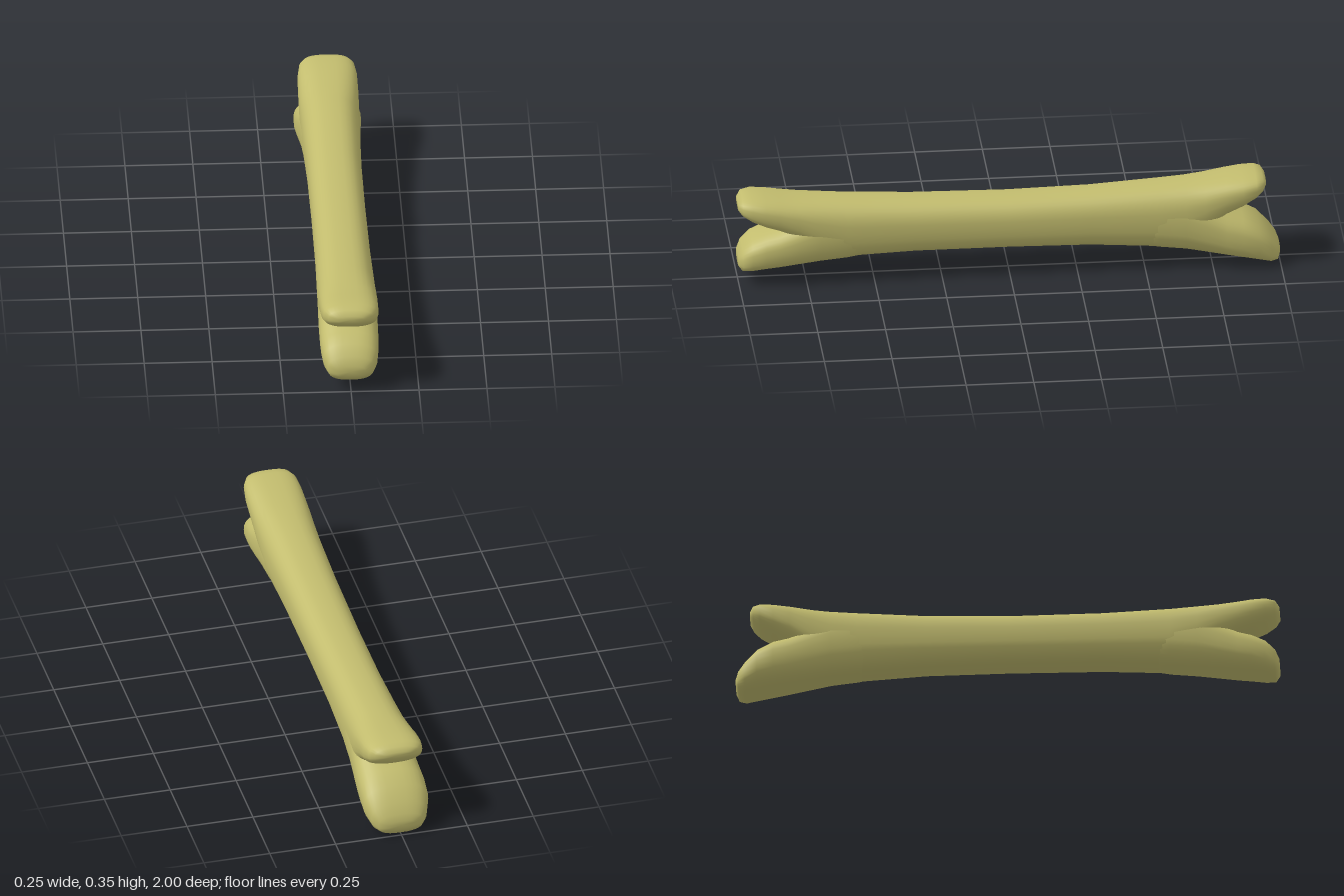
import * as THREE from 'three';

const SIDES = 32;

// Lofts rounded-square sections given as [z, top, bottom, halfWidth], with z ascending.
function loft(stations, exponent = 2.6) {
  const positions = [];
  const index = [];
  const soften = (v) => Math.sign(v) * Math.abs(v) ** (2 / exponent);

  for (const [z, top, bottom, halfWidth] of stations) {
    const mid = (top + bottom) / 2;
    const halfHeight = (top - bottom) / 2;
    for (let j = 0; j < SIDES; j++) {
      const a = (j / SIDES) * Math.PI * 2;
      positions.push(halfWidth * soften(Math.cos(a)), mid + halfHeight * soften(Math.sin(a)), z);
    }
  }

  // Skin between neighbouring sections
  const last = stations.length - 1;
  for (let i = 0; i < last; i++) {
    for (let j = 0; j < SIDES; j++) {
      const k = (j + 1) % SIDES;
      const a = i * SIDES + j, b = i * SIDES + k;
      index.push(a, b, b + SIDES, a, b + SIDES, a + SIDES);
    }
  }

  // Close both tips
  for (const i of [0, last]) {
    const [z, top, bottom] = stations[i];
    const centre = positions.length / 3;
    positions.push(0, (top + bottom) / 2, z);
    for (let j = 0; j < SIDES; j++) {
      const a = i * SIDES + j, b = i * SIDES + ((j + 1) % SIDES);
      if (i === 0) index.push(centre, b, a);
      else index.push(centre, a, b);
    }
  }

  const geometry = new THREE.BufferGeometry();
  geometry.setAttribute('position', new THREE.Float32BufferAttribute(positions, 3));
  geometry.setIndex(index);
  geometry.computeVertexNormals();
  return geometry;
}

export function createModel() {
  const group = new THREE.Group();
  group.name = 'bone';
  const boneMaterial = new THREE.MeshStandardMaterial({ color: 0xc2bc6e });
  boneMaterial.name = 'bone yellow';

  const parts = {
    // Shaft running into the upper knob at each end
    shaftAndUpperKnobs: [
      [-0.948, 0.33, 0.305, 0.05], [-0.935, 0.346, 0.285, 0.085], [-0.91, 0.352, 0.262, 0.102],
      [-0.86, 0.35, 0.23, 0.11], [-0.8, 0.343, 0.2, 0.111], [-0.72, 0.331, 0.14, 0.111],
      [-0.65, 0.325, 0.09, 0.109], [-0.55, 0.318, 0.073, 0.107], [-0.3, 0.302, 0.09, 0.101],
      [0, 0.295, 0.095, 0.1], [0.35, 0.3, 0.095, 0.102], [0.6, 0.312, 0.085, 0.107],
      [0.7, 0.318, 0.125, 0.108], [0.78, 0.322, 0.175, 0.108], [0.85, 0.33, 0.205, 0.107],
      [0.9, 0.337, 0.222, 0.106], [0.95, 0.34, 0.245, 0.1], [0.985, 0.333, 0.268, 0.083],
      [1, 0.315, 0.285, 0.05],
    ],
    // Lower knobs growing out of the shaft
    frontLowerKnob: [
      [0.45, 0.29, 0.105, 0.095], [0.6, 0.295, 0.0795, 0.106], [0.7, 0.28, 0.071, 0.108],
      [0.78, 0.24, 0.063, 0.109], [0.85, 0.208, 0.055, 0.108], [0.9, 0.195, 0.05, 0.106],
      [0.95, 0.172, 0.043, 0.1], [0.985, 0.138, 0.042, 0.085], [1, 0.105, 0.06, 0.055],
    ],
    backLowerKnob: [
      [-1, 0.06, 0.025, 0.05], [-0.99, 0.085, 0.005, 0.085], [-0.965, 0.12, 0, 0.105],
      [-0.92, 0.167, 0.012, 0.122], [-0.86, 0.2, 0.023, 0.124], [-0.8, 0.215, 0.034, 0.121],
      [-0.72, 0.255, 0.048, 0.116], [-0.65, 0.29, 0.06, 0.112], [-0.55, 0.3, 0.071, 0.107],
      [-0.42, 0.29, 0.1, 0.095],
    ],
  };

  for (const [name, stations] of Object.entries(parts)) {
    const mesh = new THREE.Mesh(loft(stations), boneMaterial);
    mesh.name = name;
    group.add(mesh);
  }
  return group;
}
